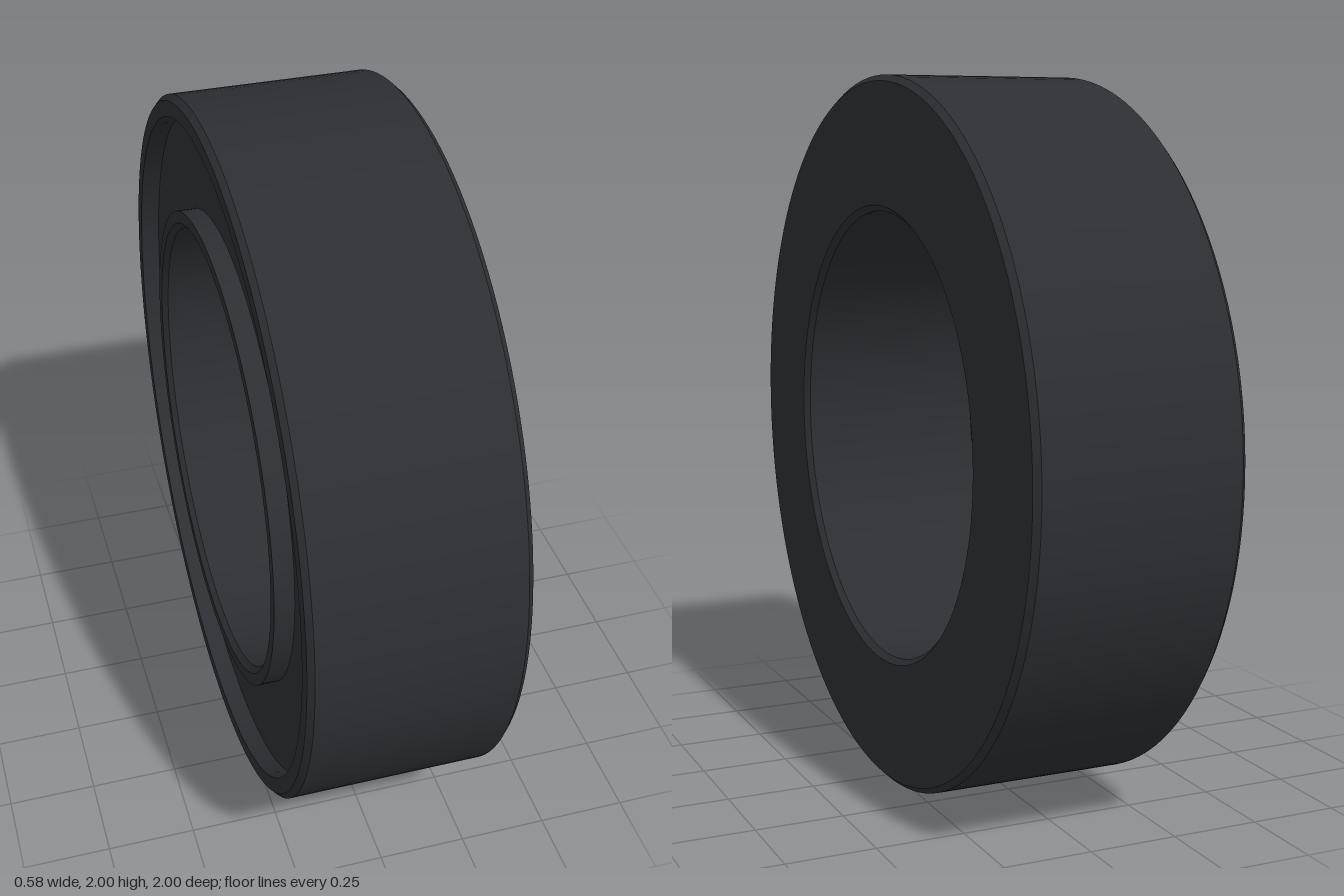
import * as THREE from 'three';
import { toCreasedNormals } from 'three/addons/utils/BufferGeometryUtils.js';

const OUTER = 1, INNER = 0.63, HALF = 0.29, BEVEL = 0.016;
const RECESS_OUTER = 0.94, RECESS_INNER = 0.68, DEPTH = 0.055;

export function createModel() {
  const group = new THREE.Group();
  group.name = 'ring';
  const material = new THREE.MeshStandardMaterial({ color: 0x2b2f34 });

  // Closed cross-section (radius, axial): bevelled rims, groove in one face
  const profile = [
    [INNER + BEVEL, -HALF], [OUTER - BEVEL, -HALF],
    [OUTER, -HALF + BEVEL], [OUTER, HALF - BEVEL],
    [OUTER - BEVEL, HALF], [RECESS_OUTER, HALF],
    [RECESS_OUTER, HALF - DEPTH], [RECESS_INNER, HALF - DEPTH],
    [RECESS_INNER, HALF], [INNER + BEVEL, HALF],
    [INNER, HALF - BEVEL], [INNER, -HALF + BEVEL],
    [INNER + BEVEL, -HALF],
  ].map(([r, a]) => new THREE.Vector2(r, a));

  // Turn the axis onto x, with the grooved face towards -x
  const geometry = toCreasedNormals(new THREE.LatheGeometry(profile, 128), 0.5);
  geometry.rotateZ(Math.PI / 2);
  geometry.translate(0, OUTER, 0);

  const body = new THREE.Mesh(geometry, material);
  body.name = 'groovedRingBody';
  group.add(body);
  return group;
}
